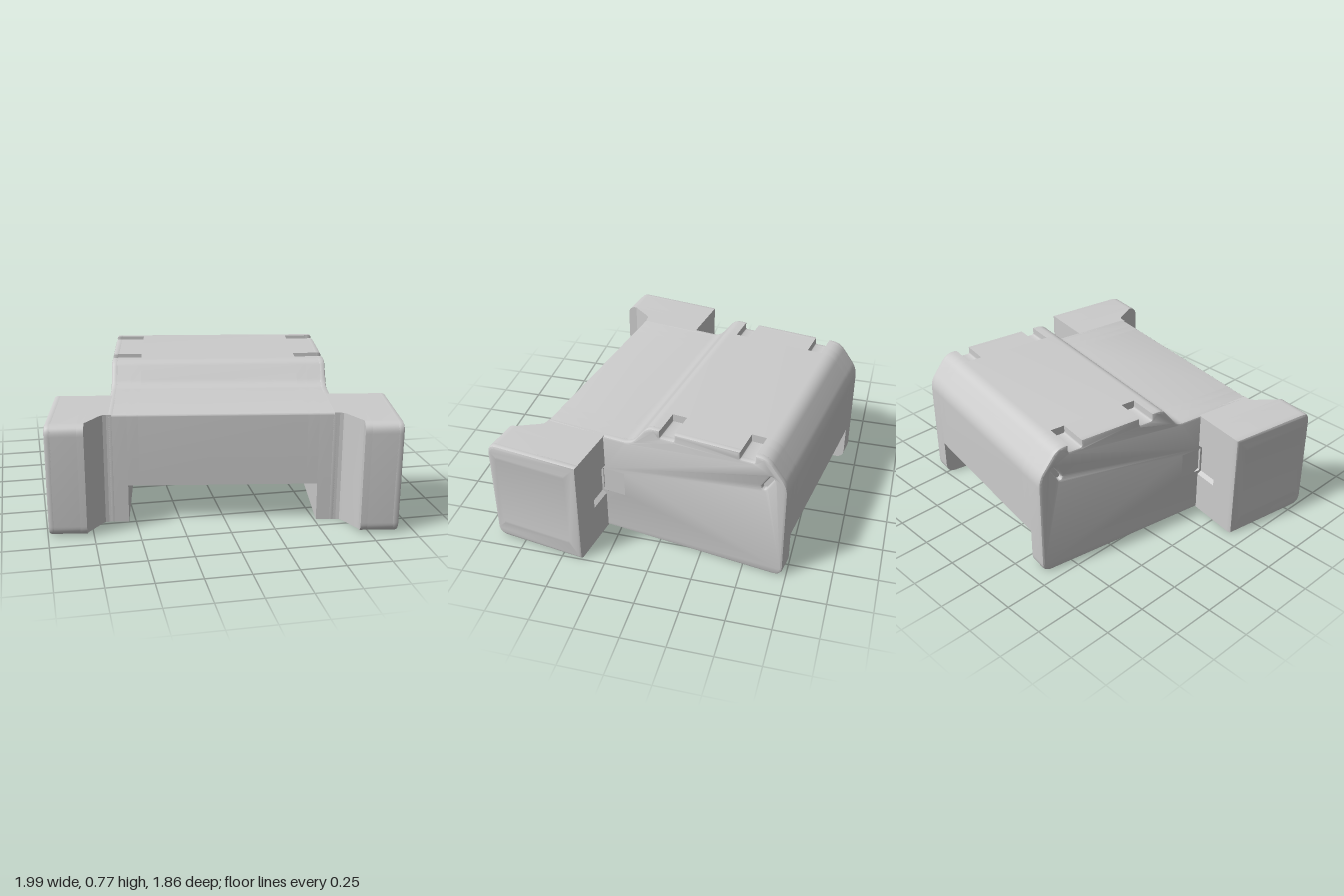
import * as THREE from 'three';
import { toCreasedNormals } from 'three/addons/utils/BufferGeometryUtils.js';

const material = new THREE.MeshStandardMaterial({ color: 0xcccccc });

// Closed outline from corners [z, y, cut]; cut is the distance each corner is rounded back
function outline(points, ShapeClass = THREE.Shape) {
  const shape = new ShapeClass();
  const n = points.length;
  const toward = (p, q, d) => {
    const len = Math.hypot(q[0] - p[0], q[1] - p[1]);
    return [p[0] + (q[0] - p[0]) * d / len, p[1] + (q[1] - p[1]) * d / len];
  };
  points.forEach((p, i) => {
    const cut = p[2] || 0;
    const a = toward(p, points[(i + n - 1) % n], cut);
    const b = toward(p, points[(i + 1) % n], cut);
    if (i === 0) shape.moveTo(-a[0], a[1]);
    else shape.lineTo(-a[0], a[1]);
    if (cut) shape.quadraticCurveTo(-p[0], p[1], -b[0], b[1]);
  });
  shape.closePath();
  return shape;
}

function mesh(name, geometry) {
  const m = new THREE.Mesh(toCreasedNormals(geometry, 0.6), material);
  m.name = name;
  return m;
}

// Side profile extruded across x from x0 to x1
function slab(name, shape, x0, x1, bevel = 0) {
  const geometry = new THREE.ExtrudeGeometry(shape, {
    depth: x1 - x0 - 2 * bevel, curveSegments: 8,
    bevelEnabled: bevel > 0, bevelSize: bevel, bevelThickness: bevel,
    bevelOffset: -bevel, bevelSegments: 2,
  });
  geometry.rotateY(Math.PI / 2).translate(x0 + bevel, 0, 0);
  return mesh(name, geometry);
}

// Body side profile above height y0, optionally with the two top notches
function bodyProfile(y0, notched) {
  const notches = notched ? [-0.17, -0.63].flatMap(z => [
    [z + 0.042, 0.775], [z + 0.042, 0.73, 0.01], [z - 0.042, 0.73, 0.01], [z - 0.042, 0.775],
  ]) : [];
  return outline([
    [0.575, y0], [0.575, 0.64, 0.012], [0.05, 0.64, 0.045], [-0.055, 0.775, 0.035],
    ...notches,
    [-0.74, 0.775, 0.05], [-0.858, 0.62, 0.05], [-0.858, y0, y0 ? 0 : 0.06],
  ]);
}

// Wing side profile, optionally with the shallow pocket in its rear face
function wingProfile(front, cut, pocket) {
  const rear = pocket
    ? [[0.218, 0.44], [0.243, 0.425], [0.243, 0.255], [0.218, 0.24]] : [];
  return outline([
    [front, 0, cut], [front, 0.64, cut], [0.218, 0.64], ...rear, [0.218, 0],
  ]);
}

function ellipseHole(z, y, rz, ry, tilt = 0) {
  const path = new THREE.Path();
  path.absellipse(-z, y, rz, ry, 0, Math.PI * 2, true, tilt);
  return path;
}

// Slot with round ends between two points
function slotHole(z0, y0, z1, y1, r) {
  const a = Math.atan2(y1 - y0, -z1 + z0);
  const path = new THREE.Path();
  path.absarc(-z1, y1, r, a - Math.PI / 2, a + Math.PI / 2, false);
  path.absarc(-z0, y0, r, a + Math.PI / 2, a + Math.PI * 1.5, false);
  path.closePath();
  return path;
}

export function createModel() {
  const model = new THREE.Group();
  model.name = 'housing';
  const body = new THREE.Group();
  body.name = 'body';
  model.add(body);

  // Central block over the through tunnel
  body.add(slab('centreBlock', bodyProfile(0.22, false), -0.47, 0.47));

  // Outer skin of the body with corner pocket and diagonal slot
  const bodySkin = bodyProfile(0, true);
  bodySkin.holes.push(
    outline([[0.085, 0.25, 0.01], [0.243, 0.25], [0.243, 0.43], [0.085, 0.43, 0.01]], THREE.Path),
    slotHole(-0.73, 0.59, -0.768, 0.652, 0.014),
  );

  // Outer skin of a wing with four screw recesses
  const wingSkin = wingProfile(0.767, 0.06, false);
  for (const z of [0.295, 0.715]) {
    for (const y of [0.1, 0.56]) wingSkin.holes.push(ellipseHole(z, y, 0.016, 0.025));
  }

  for (const side of [1, -1]) {
    const half = new THREE.Group();
    half.name = side > 0 ? 'leftSide' : 'rightSide';
    const add = (name, shape, x0, x1, bevel) => half.add(
      side > 0 ? slab(name, shape, x0, x1, bevel) : slab(name, shape, -x1, -x0, bevel));

    // Body shoulder, tunnel wall and skin
    add('notchedShoulder', bodyProfile(0.22, true), 0.47, 0.533);
    add('tunnelWall', bodyProfile(0, true), 0.533, 0.615);
    add('bodySkin', bodySkin, 0.597, 0.645, 0.013);

    // Wing built outwards from the body
    add('wingRoot', wingProfile(0.575, 0, true), 0.616, 0.753);
    add('wingPocketBand', wingProfile(0.767, 0.06, true), 0.753, 0.79);
    add('wingCore', wingProfile(0.767, 0.06, false), 0.79, 0.936);
    add('wingSkin', wingSkin, 0.915, 0.966, 0.016);

    // Sloped fillet between the front panel and the projecting wing
    const plan = new THREE.Shape([
      [0.64, 0.5], [0.64, 0.574], [0.665, 0.579], [0.68, 0.595], [0.742, 0.695], [0.754, 0.712], [0.754, 0.5],
    ].map(([x, z]) => new THREE.Vector2(side * x, -z)));
    const gusset = new THREE.ExtrudeGeometry(plan, { depth: 0.64, bevelEnabled: false });
    gusset.rotateX(-Math.PI / 2);
    half.add(mesh('wingGusset', gusset));
    body.add(half);
  }

  // The whole housing stands slightly turned
  body.rotation.y = -0.162;
  body.position.set(0.079, 0, 0.013);
  return model;
}
